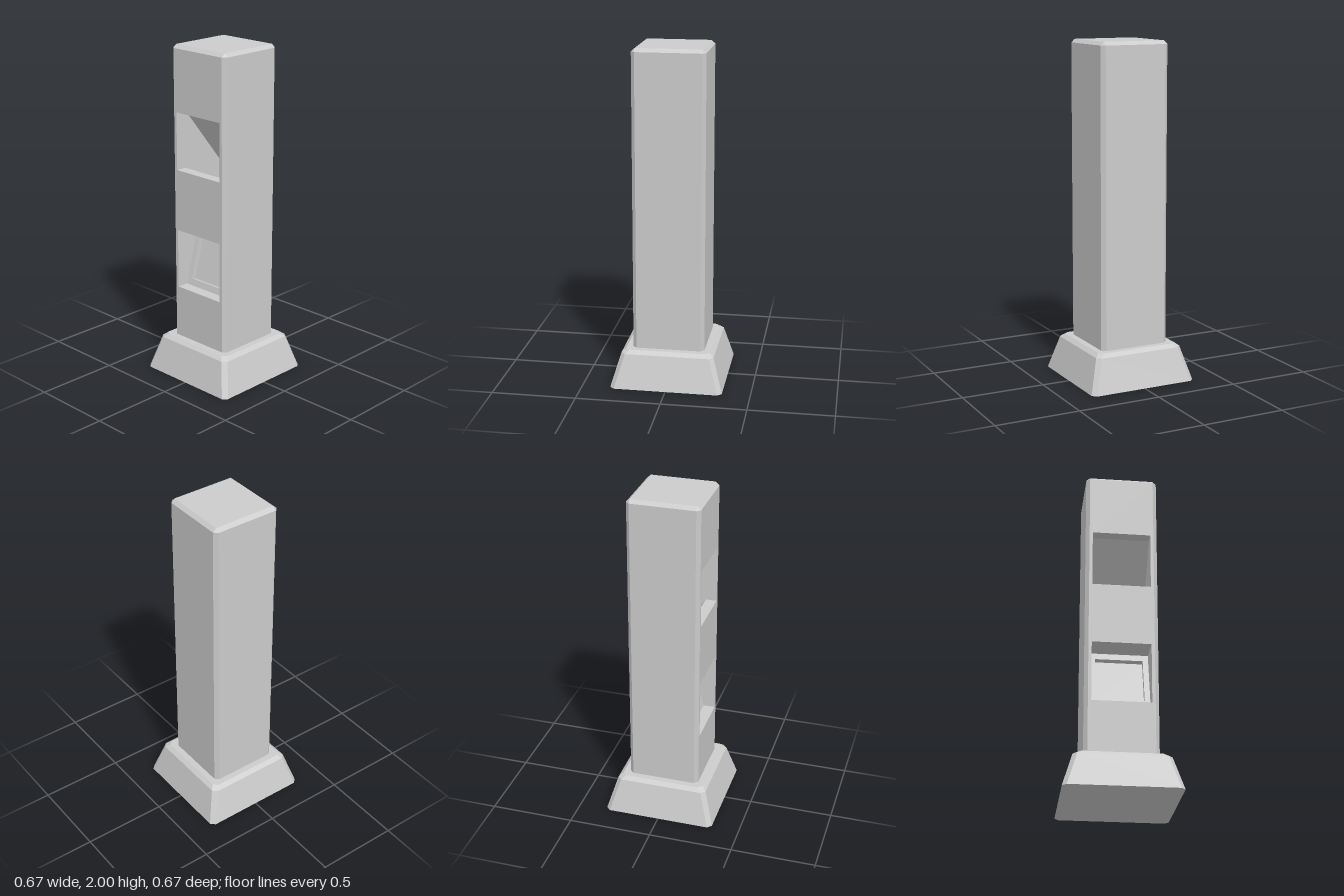
import * as THREE from 'three';

const material = new THREE.MeshStandardMaterial({ color: 0xcccccc, flatShading: true });
const FRONT = 0.213; // z of the column's front face

function mesh(name, geometry) {
  const m = new THREE.Mesh(geometry, material);
  m.name = name;
  return m;
}

// Flat-faced geometry from a list of polygons, each fanned into triangles
function facets(polygons) {
  const pos = [];
  const area = new THREE.Triangle();
  for (const p of polygons) {
    for (let i = 1; i < p.length - 1; i++) {
      area.set(p[0], p[i], p[i + 1]);
      if (area.getArea() > 1e-9) for (const v of [p[0], p[i], p[i + 1]]) pos.push(v.x, v.y, v.z);
    }
  }
  const g = new THREE.BufferGeometry();
  g.setAttribute('position', new THREE.Float32BufferAttribute(pos, 3));
  g.computeVertexNormals();
  return g;
}

// Square outline of half-width h with corners cut by c, at height y
function ring([h, c, y]) {
  const k = h - c;
  return [[h, -k], [h, k], [k, h], [-k, h], [-h, k], [-h, -k], [-k, -h], [k, -h]]
    .map(([x, z]) => new THREE.Vector3(x, y, z));
}

// Solid through stacked rings; openFront leaves out the first +z face
function chamferedBlock(levels, openFront = false) {
  const rings = levels.map(ring);
  const faces = [rings[0], [...rings[rings.length - 1]].reverse()];
  for (let r = 0; r < rings.length - 1; r++) {
    for (let i = 0; i < 8; i++) {
      if (openFront && r === 0 && i === 2) continue;
      const j = (i + 1) % 8;
      faces.push([rings[r][i], rings[r + 1][i], rings[r + 1][j], rings[r][j]]);
    }
  }
  return facets(faces);
}

function rectangle(w, y0, y1, Type = THREE.Shape) {
  return new Type([[-w, y0], [w, y0], [w, y1], [-w, y1]].map(([x, y]) => new THREE.Vector2(x, y)));
}

function panelWithHoles(w, y0, y1, holes) {
  const shape = rectangle(w, y0, y1);
  shape.holes = holes.map(([hw, a, b]) => rectangle(hw, a, b, THREE.Path));
  return new THREE.ShapeGeometry(shape);
}

// Inner walls of a recess: [z, y] profile from upper lip, round the back, to lower lip
function pocket(name, w, profile, skip = -1) {
  const group = new THREE.Group();
  group.name = name;
  const faces = [];
  for (let i = 0; i < profile.length - 1; i++) {
    if (i === skip) continue;
    const [[z0, y0], [z1, y1]] = [profile[i], profile[i + 1]];
    faces.push([[w, y0, z0], [-w, y0, z0], [-w, y1, z1], [w, y1, z1]].map((p) => new THREE.Vector3(...p)));
  }
  group.add(mesh(name + 'Lining', facets(faces)));
  for (const s of [1, -1]) {
    const shape = new THREE.Shape(profile.map(([z, y]) => new THREE.Vector2(s * z, y)));
    const side = mesh(name + (s > 0 ? 'LeftWall' : 'RightWall'), new THREE.ShapeGeometry(shape));
    side.rotation.y = -s * Math.PI / 2;
    side.position.x = s * w;
    group.add(side);
  }
  return group;
}

export function createModel() {
  const model = new THREE.Group();
  model.name = 'pillar';

  // Flared plinth
  model.add(mesh('base', chamferedBlock([[0.333, 0.025, 0], [0.275, 0.025, 0.2], [0.25, 0.025, 0.22]])));

  // Column with bevelled edges; its front is a panel with two openings
  model.add(mesh('column', chamferedBlock([[FRONT, 0.022, 0.2], [FRONT, 0.022, 1.98], [0.191, 0, 2]], true)));
  const w = 0.172;
  const front = mesh('frontPanel', panelWithHoles(0.191, 0.2, 1.98, [[w, 1.265, 1.61], [w, 0.535, 0.895]]));
  front.position.z = FRONT;
  model.add(front);

  // Upper opening: a chute sloping down towards the back
  model.add(pocket('chute', w, [
    [FRONT, 1.61], [FRONT - 0.07, 1.61], [FRONT - 0.347, 1.265],
    [FRONT - 0.347, 0.92], [FRONT - 0.065, 1.265], [FRONT, 1.265],
  ]));

  // Lower opening, backed by a tilted plate
  const foot = 0.07, lean = 0.097, height = 0.36;
  model.add(pocket('lowerRecess', w, [
    [FRONT, 0.895], [FRONT - foot - lean, 0.895], [FRONT - foot, 0.535], [FRONT, 0.535],
  ], 1));

  // Tilted plate with a sunken screen
  const plate = new THREE.Group();
  plate.name = 'tiltedPlate';
  plate.position.set(0, 0.535, FRONT - foot);
  plate.rotation.x = -Math.atan2(lean, height);
  const y0 = 0.04, y1 = 0.332;
  plate.add(mesh('plateFrame', panelWithHoles(w, 0, Math.hypot(lean, height), [[0.14, y0, y1]])));
  plate.add(pocket('sunkenScreen', 0.14, [[0, y1], [-0.03, y1], [-0.03, y0], [0, y0]]));
  model.add(plate);

  return model;
}
